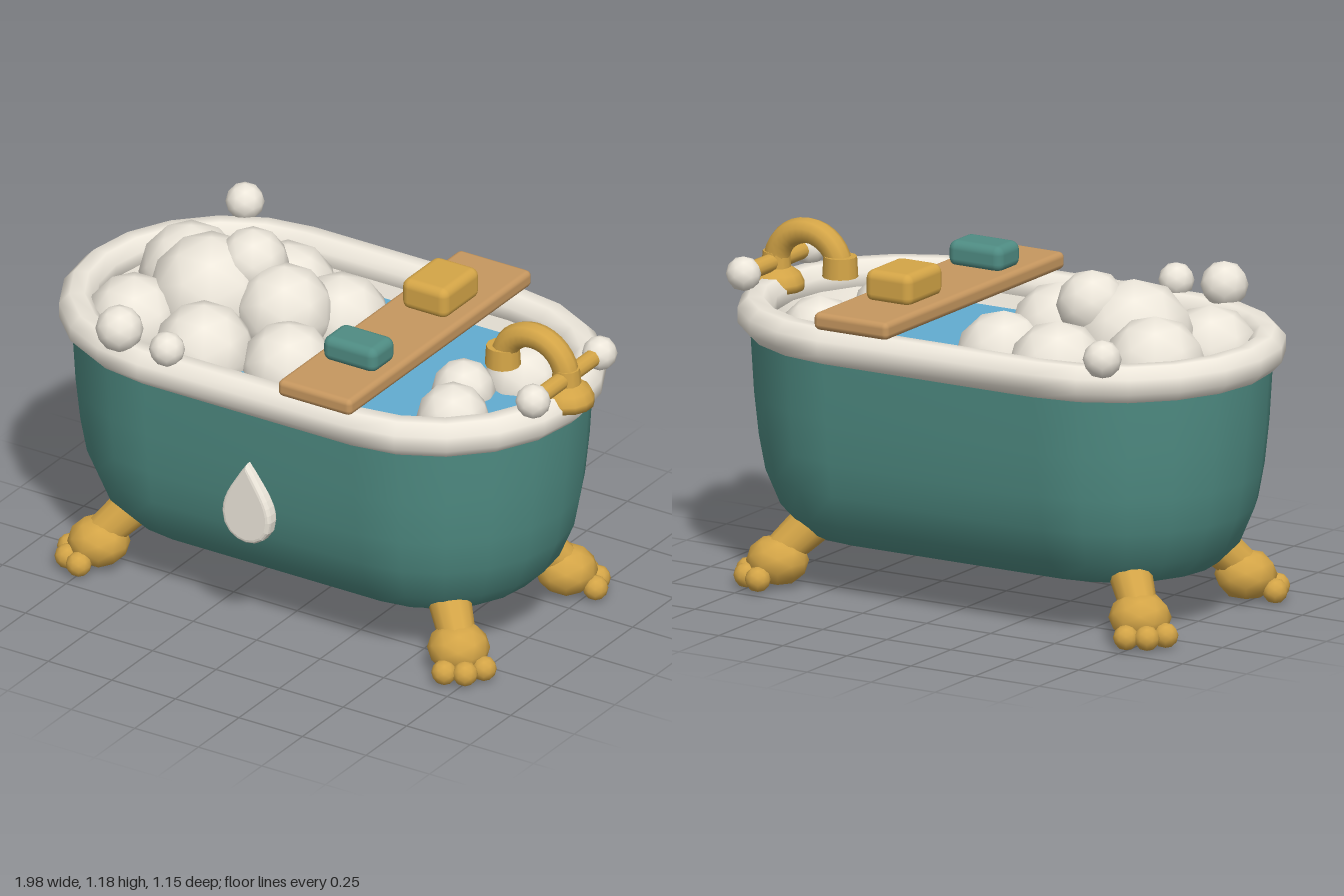
import * as THREE from 'three';
import { RoundedBoxGeometry } from 'three/addons/geometries/RoundedBoxGeometry.js';

const paint = (color, extra = {}) => new THREE.MeshStandardMaterial({ color, ...extra });
const TEAL = paint(0x4f8c83), WHITE = paint(0xeee8dc), GOLD = paint(0xd4a547);
const WOOD = paint(0xc6975f), WATER = paint(0x62acd0);
const STRAIGHT = 0.41; // half length of the straight sides
const CX = -0.027, CZ = -0.01; // centre of the tub

function add(parent, name, geometry, material, x = 0, y = 0, z = 0) {
  const mesh = new THREE.Mesh(geometry, material);
  mesh.name = name;
  mesh.position.set(x, y, z);
  parent.add(mesh);
  return mesh;
}

// Sweeps a profile of [radius, y] points around a stadium-shaped outline
function stadiumLoft(profile, segs = 10) {
  const pos = [], index = [], n = 2 * (segs + 1);
  for (const [r, y] of profile) {
    for (let i = 0; i < n; i++) {
      const side = i <= segs ? 1 : -1;
      const a = -Math.PI / 2 + (Math.PI * (i - (side < 0 ? 1 : 0))) / segs;
      pos.push(side * STRAIGHT + r * Math.cos(a), y, r * Math.sin(a));
    }
  }
  for (let j = 0; j < profile.length - 1; j++) {
    for (let i = 0; i < n; i++) {
      const a = j * n + i, b = j * n + ((i + 1) % n);
      index.push(a, a + n, b, b, a + n, b + n);
    }
  }
  const g = new THREE.BufferGeometry();
  g.setAttribute('position', new THREE.Float32BufferAttribute(pos, 3));
  g.setIndex(index);
  g.computeVertexNormals();
  return g;
}

const ball = (r) => new THREE.IcosahedronGeometry(r, 1);

// Cylinder between two points
function rod(parent, name, from, to, r0, r1, material) {
  const a = new THREE.Vector3(...from), b = new THREE.Vector3(...to);
  const dir = b.clone().sub(a);
  const mesh = add(parent, name, new THREE.CylinderGeometry(r1, r0, dir.length(), 12), material);
  mesh.position.copy(a).add(b).multiplyScalar(0.5);
  mesh.quaternion.setFromUnitVectors(new THREE.Vector3(0, 1, 0), dir.normalize());
  return mesh;
}

function makeTub() {
  const tub = new THREE.Group();
  tub.name = 'tub';
  tub.position.set(CX, 0, CZ);
  add(tub, 'tubBody', stadiumLoft([[0, 0.18], [0.3, 0.18], [0.345, 0.185], [0.42, 0.26],
    [0.47, 0.38], [0.492, 0.5], [0.508, 0.65], [0.52, 0.85], [0.52, 0.9]]), TEAL);

  // Rolled rim with an octagonal section
  const rim = [];
  for (let i = 0; i <= 8; i++) {
    const a = -Math.PI * 0.625 + (i * Math.PI) / 4;
    rim.push([0.503 + 0.065 * Math.cos(a), 0.909 + 0.066 * Math.sin(a)]);
  }
  add(tub, 'rim', stadiumLoft(rim), WHITE);
  add(tub, 'innerWall', stadiumLoft([[0.455, 0.92], [0.44, 0.88], [0.415, 0.82]]), WHITE);
  add(tub, 'water', stadiumLoft([[0.425, 0.845], [0, 0.845]]), WATER);

  // Clawed feet, one per corner
  for (const sx of [-1, 1]) {
    for (const sz of [-1, 1]) {
      const foot = new THREE.Group();
      foot.name = 'foot';
      tub.add(foot);
      rod(foot, 'ankle', [sx * 0.7, 0.12, sz * 0.325], [sx * 0.605, 0.235, sz * 0.24], 0.062, 0.075, GOLD);
      add(foot, 'paw', ball(0.105), GOLD, sx * 0.708, 0.092, sz * 0.332).scale.y = 0.82;
      for (const deg of [6, 46, 84]) {
        const a = (deg * Math.PI) / 180;
        add(foot, 'toe', ball(0.043), GOLD,
          sx * (0.708 + 0.107 * Math.cos(a)), 0.047, sz * (0.332 + 0.107 * Math.sin(a)));
      }
    }
  }
  return tub;
}

function makeDrop() {
  const s = new THREE.Shape();
  s.moveTo(0, 0.15);
  s.bezierCurveTo(0.03, 0.09, 0.08, 0.04, 0.08, -0.025);
  s.bezierCurveTo(0.08, -0.135, -0.08, -0.135, -0.08, -0.025);
  s.bezierCurveTo(-0.08, 0.04, -0.03, 0.09, 0, 0.15);
  return new THREE.ExtrudeGeometry(s, {
    depth: 0.025, bevelEnabled: true, bevelThickness: 0.015, bevelSize: 0.015, bevelSegments: 3, curveSegments: 8,
  });
}

function makeFaucet() {
  const faucet = new THREE.Group();
  faucet.name = 'faucet';
  faucet.position.set(0.893, 0, CZ);
  const base = [[0, 0.92], [0.094, 0.92], [0.094, 0.945], [0.08, 0.975], [0.05, 0.996], [0, 1.0]]
    .map(([r, y]) => new THREE.Vector2(r, y));
  add(faucet, 'faucetBase', new THREE.LatheGeometry(base, 14), GOLD);
  add(faucet, 'faucetStem', new THREE.CylinderGeometry(0.045, 0.052, 0.08, 12), GOLD, 0, 1.01, 0);
  add(faucet, 'spout', new THREE.TorusGeometry(0.125, 0.044, 10, 16, Math.PI), GOLD, -0.125, 1.01, 0);
  add(faucet, 'spoutCollar', new THREE.CylinderGeometry(0.056, 0.06, 0.07, 12), GOLD, -0.25, 1.03, 0);
  rod(faucet, 'handleBar', [0, 1.015, -0.2], [0, 1.015, 0.2], 0.03, 0.03, GOLD);
  for (const s of [-1, 1]) add(faucet, 'handleKnob', ball(0.059), WHITE, 0, 1.015, s * 0.205);
  return faucet;
}

export function createModel() {
  const model = new THREE.Group();
  model.name = 'bathtub';
  model.add(makeTub(), makeFaucet());
  add(model, 'dropEmblem', makeDrop(), WHITE, CX, 0.492, 0.49);

  // Tray with sponge and soap
  add(model, 'tray', new RoundedBoxGeometry(0.29, 0.06, 1.125, 2, 0.02), WOOD, 0.256, 1.0, -0.011);
  add(model, 'sponge', new RoundedBoxGeometry(0.21, 0.09, 0.14, 3, 0.03), TEAL, 0.255, 1.066, 0.27);
  add(model, 'soap', new RoundedBoxGeometry(0.18, 0.11, 0.222, 3, 0.03), GOLD, 0.26, 1.076, -0.225);

  // Foam bubbles: x, y, z, radius
  const foam = [
    [-0.68, 0.9, -0.16, 0.175], [-0.37, 0.87, -0.27, 0.17], [-0.115, 0.86, -0.2, 0.165],
    [-0.68, 0.87, 0.19, 0.165], [-0.37, 0.87, 0.245, 0.17], [-0.095, 0.845, 0.155, 0.16],
    [-0.505, 0.935, -0.01, 0.21], [-0.23, 0.935, -0.03, 0.167], [-0.385, 1.055, -0.08, 0.12],
    [0.605, 0.84, -0.2, 0.137], [0.565, 0.85, 0.175, 0.123], [0.485, 0.85, -0.015, 0.107],
    [-0.54, 1.018, 0.5, 0.08], [-0.343, 1.003, 0.515, 0.06], [-0.692, 1.007, -0.51, 0.065],
  ];
  for (const [x, y, z, r] of foam) add(model, 'bubble', ball(r), WHITE, x, y, z);
  return model;
}
